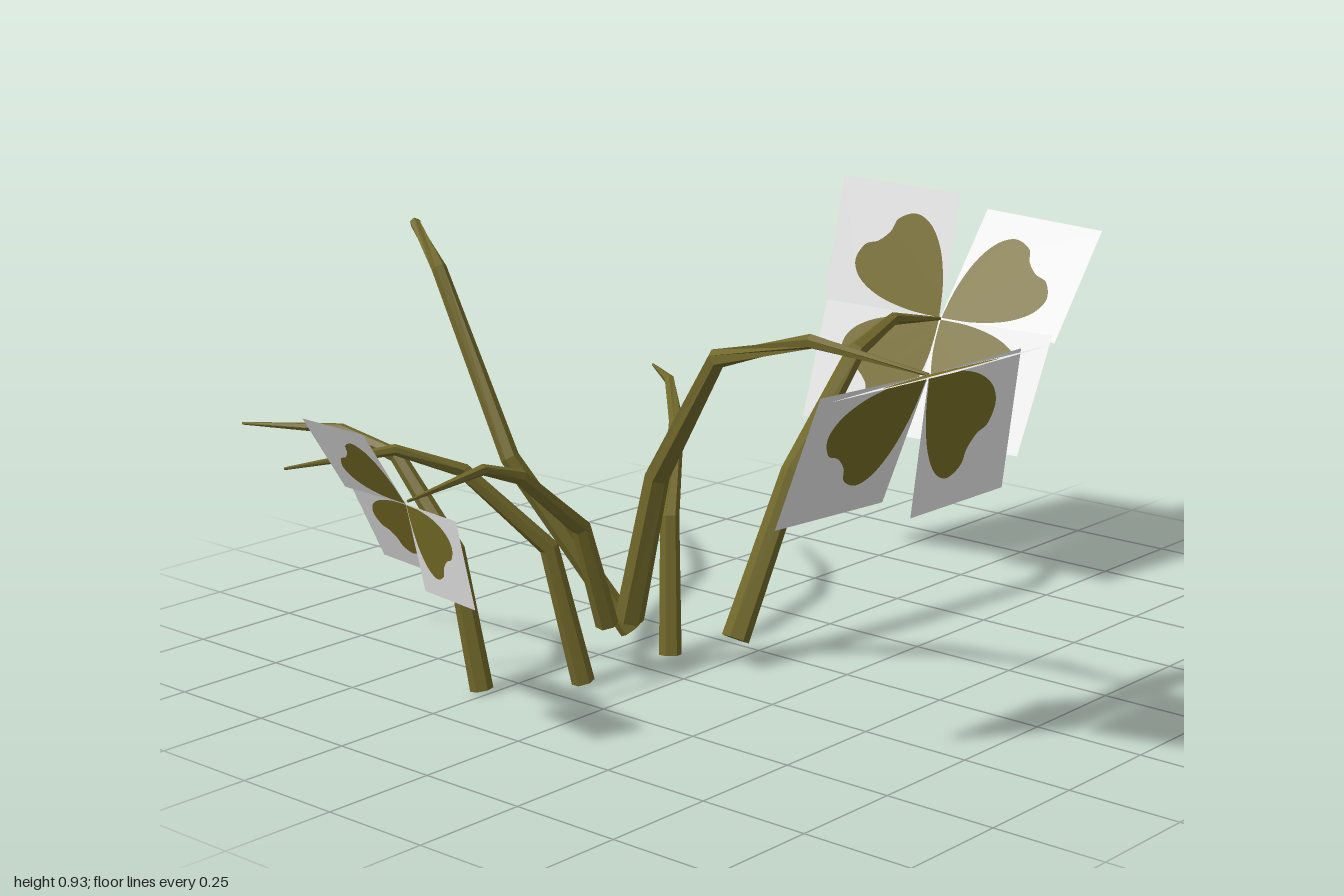
import * as THREE from 'three';

const stemMat = new THREE.MeshStandardMaterial({ color: 0x70672a, flatShading: true });
stemMat.name = 'olive stem';
const leafMat = new THREE.MeshStandardMaterial({ color: 0x776c25, side: THREE.DoubleSide });
leafMat.name = 'olive leaf';
const cardMat = new THREE.MeshStandardMaterial({ color: 0xf5f5f5, side: THREE.DoubleSide });
cardMat.name = 'pale card';

const V = (p) => new THREE.Vector3(...p);

// Tapered six-sided stem swept through a few bends, closed at the base
function stem(name, radius, points) {
  const SIDES = 6, taper = [1, 0.85, 0.68, 0.48, 0.12];
  const pts = points.map(V), pos = [], idx = [];
  pts.forEach((p, i) => {
    const before = pts[Math.max(i - 1, 0)], after = pts[Math.min(i + 1, pts.length - 1)];
    const t = after.clone().sub(before).normalize();
    const u = new THREE.Vector3(0.31, 0.1, 0.95).cross(t).normalize();
    const v = t.clone().cross(u);
    for (let k = 0; k < SIDES; k++) {
      const a = (k / SIDES) * Math.PI * 2, r = radius * taper[i];
      pos.push(...p.clone().addScaledVector(u, Math.cos(a) * r).addScaledVector(v, Math.sin(a) * r).toArray());
    }
  });
  for (let i = 0; i < pts.length - 1; i++) {
    for (let k = 0; k < SIDES; k++) {
      const a = i * SIDES + k, b = i * SIDES + (k + 1) % SIDES;
      idx.push(a, b, b + SIDES, a, b + SIDES, a + SIDES);
    }
  }
  const last = (pts.length - 1) * SIDES;
  for (let k = 1; k < SIDES - 1; k++) {
    idx.push(0, k + 1, k, last, last + k, last + k + 1);
  }
  const g = new THREE.BufferGeometry();
  g.setAttribute('position', new THREE.Float32BufferAttribute(pos, 3));
  g.setIndex(idx);
  g.computeVertexNormals();
  const m = new THREE.Mesh(g, stemMat);
  m.name = name;
  return m;
}

// Heart-shaped leaf in unit card space; its tip sits at the card corner
const half = [[0.008, 0.008], [0.28, 0.025], [0.54, 0.09], [0.72, 0.2], [0.79, 0.34], [0.73, 0.48], [0.62, 0.53]];
const outline = [...half, ...half.slice(1).reverse().map(([x, y]) => [y, x])].map(([x, y]) => new THREE.Vector2(x, y));
const leafShape = new THREE.Shape();
leafShape.moveTo(outline[0].x, outline[0].y);
leafShape.splineThru([...outline.slice(1), outline[0]]);
const leafPoints = leafShape.getPoints(40);
const cardShape = new THREE.Shape([[0, 0], [1, 0], [1, 1], [0, 1]].map(([x, y]) => new THREE.Vector2(x, y)));
cardShape.holes.push(new THREE.Path(leafPoints));

// Group of leaf cards; each card is spanned by two edges from the shared centre
function leafCluster(name, centre, cards) {
  const group = new THREE.Group();
  group.name = name;
  for (const [a, b] of cards) {
    const u = V(a), v = V(b), n = u.clone().cross(v).normalize();
    const frame = new THREE.Matrix4().makeBasis(u, v, n).setPosition(...centre);
    const parts = [['leafCard', cardShape, cardMat], ['leaf', new THREE.Shape(leafPoints), leafMat]];
    for (const [label, shape, mat] of parts) {
      const m = new THREE.Mesh(new THREE.ShapeGeometry(shape).applyMatrix4(frame), mat);
      m.name = label;
      group.add(m);
    }
  }
  return group;
}

export function createModel() {
  const model = new THREE.Group();
  model.name = 'cloverPlant';

  // Bare stems
  model.add(
    stem('bareStemFarRight', 0.025, [[-0.59, 0, -0.27], [-0.6, 0.3, -0.33], [-0.61, 0.48, -0.49], [-0.65, 0.525, -0.62], [-0.73, 0.515, -0.85]]),
    stem('bareStemRight', 0.025, [[-0.415, 0, -0.14], [-0.46, 0.3, -0.19], [-0.59, 0.475, -0.31], [-0.71, 0.53, -0.385], [-0.91, 0.51, -0.5]]),
    stem('bareStemTall', 0.025, [[-0.19, 0.045, -0.21], [-0.335, 0.43, -0.43], [-0.315, 0.82, -0.66], [-0.245, 0.895, -0.81], [-0.09, 0.86, -0.965]]),
    stem('bareStemLeft', 0.025, [[-0.16, 0, -0.12], [-0.12, 0.3, -0.155], [0.02, 0.47, -0.26], [0.13, 0.53, -0.38], [0.27, 0.515, -0.56]]),
  );

  // Leaf-bearing stems
  model.add(
    stem('leafStemFront', 0.032, [[-0.29, 0.115, -0.12], [-0.295, 0.45, -0.03], [-0.33, 0.74, 0.17], [-0.31, 0.805, 0.4], [-0.29, 0.775, 0.675]]),
    stem('leafStemLeft', 0.031, [[-0.12, 0.06, 0.035], [0.06, 0.4, 0.045], [0.28, 0.635, 0.045], [0.49, 0.665, -0.015], [0.77, 0.61, -0.09]]),
    stem('leafStemRight', 0.025, [[-0.36, 0.12, -0.12], [-0.43, 0.35, -0.125], [-0.59, 0.49, -0.14], [-0.69, 0.525, -0.145], [-0.89, 0.5, -0.152]]),
  );

  // Leaves
  model.add(
    leafCluster('leavesLeft', [0.77, 0.61, -0.09], [
      [[-0.145, -0.26, 0.01], [0.035, -0.005, 0.3]],
      [[0.185, 0.24, 0], [0.045, -0.025, 0.3]],
      [[0.075, 0.29, 0], [-0.08, 0.025, -0.29]],
      [[-0.09, -0.275, 0], [-0.07, 0.02, -0.29]],
    ]),
    leafCluster('leavesFront', [-0.288, 0.775, 0.675], [
      [[-0.3, 0, 0], [0, 0.1, 0.285]],
      [[-0.305, 0.005, -0.02], [0, -0.275, -0.11]],
      [[0.298, 0.002, 0.005], [0, -0.295, -0.04]],
    ]),
    leafCluster('leavesRight', [-0.895, 0.495, -0.152], [
      [[-0.1, 0.16, -0.005], [0.01, 0, -0.19]],
      [[0.083, -0.165, 0], [0.025, 0, -0.19]],
      [[0.045, -0.19, 0], [-0.045, 0.01, 0.19]],
    ]),
  );
  return model;
}
